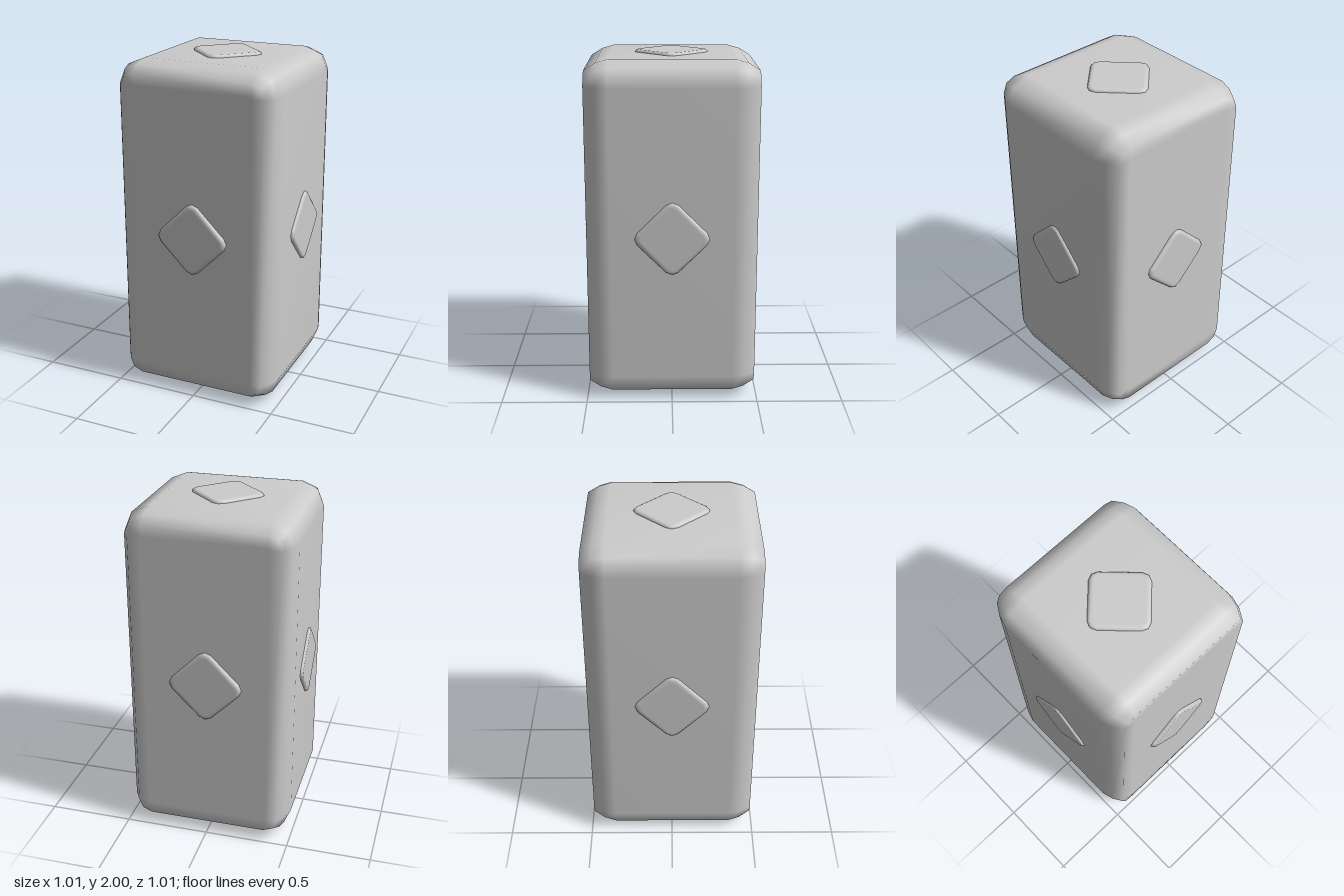
import * as THREE from 'three';

// Outline of a rounded rectangle, counter-clockwise, two segments per corner
function outline(halfW, halfH, radius) {
  const points = [];
  [[1, 1], [-1, 1], [-1, -1], [1, -1]].forEach(([sx, sy], quarter) => {
    for (let s = 0; s <= 2; s++) {
      const a = (quarter + s / 2) * Math.PI / 2;
      points.push([
        sx * (halfW - radius) + radius * Math.cos(a),
        sy * (halfH - radius) + radius * Math.sin(a),
      ]);
    }
  });
  return points;
}

// Smooth bevelled slab along z, lofted through rounded-rectangle rings.
// bevel: list of [inset, distance behind the front face], from face to side.
function bevelledSlab(halfW, halfH, halfD, radius, bevel) {
  const front = bevel.map(([inset, back]) => [inset, halfD - back]);
  const rings = [...front, ...front.map(([inset, z]) => [inset, -z]).reverse()];
  const positions = [], index = [], n = 12;
  for (const [inset, z] of rings) {
    for (const [x, y] of outline(halfW - inset, halfH - inset, radius - inset)) positions.push(x, y, z);
  }
  for (let r = 0; r < rings.length - 1; r++) {
    for (let j = 0; j < n; j++) {
      const k = (j + 1) % n;
      const a = r * n + j, b = r * n + k, c = b + n, d = a + n;
      index.push(a, d, c, a, c, b);
    }
  }
  const last = (rings.length - 1) * n;
  for (let j = 1; j < n - 1; j++) {
    index.push(0, j, j + 1, last, last + j + 1, last + j);
  }
  const geometry = new THREE.BufferGeometry();
  geometry.setAttribute('position', new THREE.Float32BufferAttribute(positions, 3));
  geometry.setIndex(index);
  geometry.computeVertexNormals();
  return geometry;
}

export function createModel() {
  const group = new THREE.Group();
  const grey = new THREE.MeshStandardMaterial({ color: 0xcccccc });
  grey.name = 'light grey';

  // Tall block with softened edges
  const body = new THREE.Mesh(
    bevelledSlab(0.49, 0.985, 0.485, 0.14, [[0.13, 0], [0.06, 0], [0.02, 0.065], [0, 0.135]]),
    grey
  );
  body.name = 'body';
  body.position.y = 1;
  group.add(body);

  // One raised diamond in the middle of every face
  const plate = bevelledSlab(0.164, 0.164, 0.03, 0.05, [[0.03, 0], [0.015, 0], [0.005, 0.006], [0, 0.015]]);
  plate.rotateZ(Math.PI / 4);
  const faces = [
    ['frontDiamond', 0, 0, 1, 0.505],
    ['backDiamond', 0, 0, -1, 0.505],
    ['leftDiamond', 1, 0, 0, 0.505],
    ['rightDiamond', -1, 0, 0, 0.505],
    ['topDiamond', 0, 1, 0, 1],
    ['bottomDiamond', 0, -1, 0, 1],
  ];
  for (const [name, x, y, z, reach] of faces) {
    const diamond = new THREE.Mesh(plate, grey);
    const direction = new THREE.Vector3(x, y, z);
    diamond.name = name;
    diamond.rotation.set(-y * Math.PI / 2, x ? x * Math.PI / 2 : (z < 0 ? Math.PI : 0), 0);
    diamond.position.copy(direction).multiplyScalar(reach - 0.03);
    diamond.position.y += 1;
    group.add(diamond);
  }
  return group;
}
